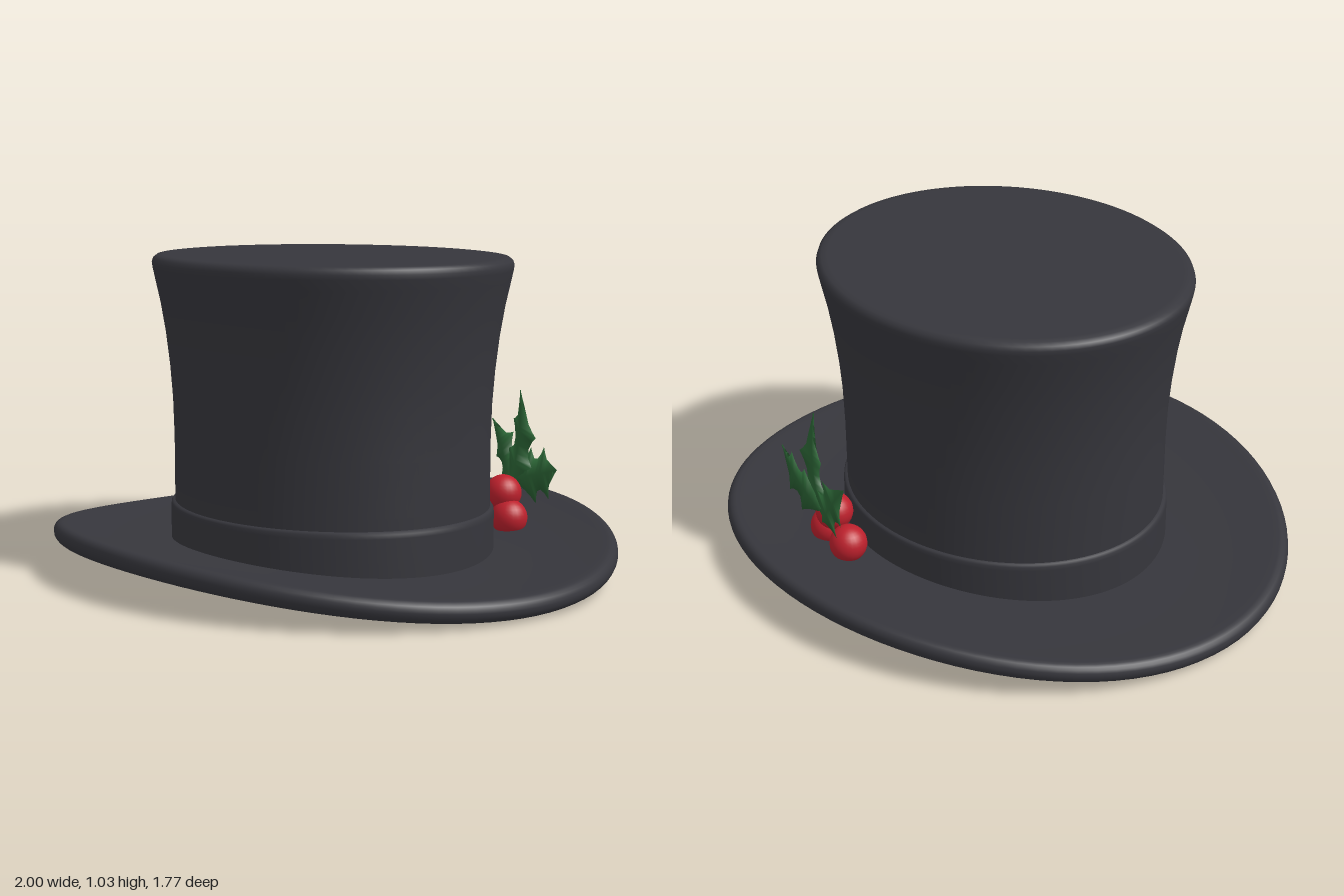
import * as THREE from 'three';
import { mergeVertices } from 'three/addons/utils/BufferGeometryUtils.js';

const OVAL = 0.885; // depth of the hat relative to its width

function material(name, color) {
  const m = new THREE.MeshStandardMaterial({ color });
  m.name = name;
  return m;
}

// Oval lathe from [radius, height] pairs running bottom to top
function ovalLathe(points) {
  const g = new THREE.LatheGeometry(points.map(([r, y]) => new THREE.Vector2(r, y)), 96);
  return g.scale(1, 1, OVAL);
}

// Brim: flat oval ring with a round lip, rolled upward toward front and back
function brimGeometry() {
  const pts = [[0.5, 0.012], [0.7, 0.012], [0.85, 0.01], [0.94, 0.008]];
  for (let i = 0; i <= 10; i++) {
    const a = -Math.PI / 2 + (Math.PI * i) / 10;
    pts.push([0.966 + 0.034 * Math.cos(a), 0.042 + 0.034 * Math.sin(a)]);
  }
  pts.push([0.94, 0.075], [0.85, 0.068], [0.7, 0.062], [0.5, 0.062]);
  let g = ovalLathe(pts);
  const p = g.attributes.position;
  for (let i = 0; i < p.count; i++) {
    p.setY(i, p.getY(i) + 0.1 * (p.getZ(i) / OVAL) ** 2);
  }
  g.deleteAttribute('uv');
  g.deleteAttribute('normal');
  g = mergeVertices(g);
  g.computeVertexNormals();
  return g;
}

// Half-width of a holly leaf: scalloped edge with sharp points
const LEAF_T = [0, 0.06, 0.14, 0.22, 0.28, 0.32, 0.38, 0.46, 0.54, 0.6, 0.64, 0.7, 0.8, 0.9, 1];
const LEAF_W = [0.1, 0.3, 0.5, 0.75, 1, 0.8, 0.58, 0.55, 0.7, 0.92, 0.7, 0.45, 0.3, 0.15, 0.01];

// Holly leaf: four-sided cross-sections swept from base to tip
function leafGeometry(base, tip, outward, halfWidth, bulge) {
  const axis = tip.clone().sub(base);
  const dir = axis.clone().normalize();
  const side = new THREE.Vector3().crossVectors(dir, outward).normalize();
  const normal = new THREE.Vector3().crossVectors(side, dir).normalize();
  const pos = [], index = [];
  LEAF_T.forEach((t, i) => {
    const w = LEAF_W[i] * halfWidth;
    const thick = 0.011 * (1 - 0.8 * t);
    const mid = base.clone().addScaledVector(axis, t)
      .addScaledVector(normal, bulge * Math.sin(Math.PI * t));
    // left edge, outer rib, right edge, inner rib
    for (const [s, n] of [[-w, 0.12 * w], [0, thick], [w, 0.12 * w], [0, -thick]]) {
      const v = mid.clone().addScaledVector(side, s).addScaledVector(normal, n)
        .addScaledVector(dir, Math.abs(s) * 0.25 * (1 - t));
      pos.push(v.x, v.y, v.z);
    }
  });
  for (let i = 0; i < LEAF_T.length - 1; i++) {
    for (let k = 0; k < 4; k++) {
      const a = i * 4 + k, b = i * 4 + ((k + 1) % 4);
      index.push(a, b, a + 4, b, b + 4, a + 4);
    }
  }
  const g = new THREE.BufferGeometry();
  g.setAttribute('position', new THREE.Float32BufferAttribute(pos, 3));
  g.setIndex(index);
  g.computeVertexNormals();
  return g;
}

export function createModel() {
  const felt = material('charcoal felt', 0x36363c);
  const red = material('berry red', 0xbc202c);
  const green = material('holly green', 0x2b6435);
  green.side = THREE.DoubleSide;

  const hat = new THREE.Group();
  hat.name = 'topHat';
  const add = (parent, name, geometry, mat) => {
    const mesh = new THREE.Mesh(geometry, mat);
    mesh.name = name;
    parent.add(mesh);
    return mesh;
  };

  add(hat, 'brim', brimGeometry(), felt);

  // Crown: flares toward a softly rounded top
  add(hat, 'crown', ovalLathe([
    [0.56, 0.05], [0.56, 0.25], [0.56, 0.42], [0.564, 0.55], [0.573, 0.66], [0.587, 0.77],
    [0.605, 0.87], [0.624, 0.95], [0.632, 0.985], [0.634, 1.0], [0.629, 1.014], [0.616, 1.023],
    [0.595, 1.025], [0.4, 1.027], [0.2, 1.029], [0, 1.03],
  ]), felt);

  // Band: wraps the crown foot and closes the underside with a slim rim
  add(hat, 'band', ovalLathe([
    [0, 0.008], [0.535, 0.008], [0.54, 0.007], [0.548, 0], [0.565, 0], [0.574, 0.006], [0.575, 0.012],
    [0.574, 0.19], [0.573, 0.203], [0.568, 0.21], [0.556, 0.212],
  ]), felt);

  // Holly sprig on the back
  const holly = new THREE.Group();
  holly.name = 'hollySprig';
  hat.add(holly);
  [[0.16, 0.15, -0.575], [0.265, 0.21, -0.535], [0.305, 0.132, -0.525]].forEach((c, i) => {
    add(holly, `berry${i + 1}`, new THREE.SphereGeometry(0.062, 24, 16), red).position.set(...c);
  });
  const V = (x, y, z) => new THREE.Vector3(x, y, z);
  [
    ['middleLeaf', V(0.24, 0.2, -0.59), V(0.32, 0.565, -0.555), V(0.35, 0, -1), 0.1, 0.02],
    ['rightLeaf', V(0.24, 0.21, -0.6), V(0.07, 0.43, -0.665), V(0.3, 0, -1), 0.09, 0.01],
    ['leftLeaf', V(0.25, 0.25, -0.6), V(0.55, 0.33, -0.5), V(0.4, 0, -1), 0.095, 0.012],
  ].forEach(([name, ...args]) => add(holly, name, leafGeometry(...args), green));

  return hat;
}
